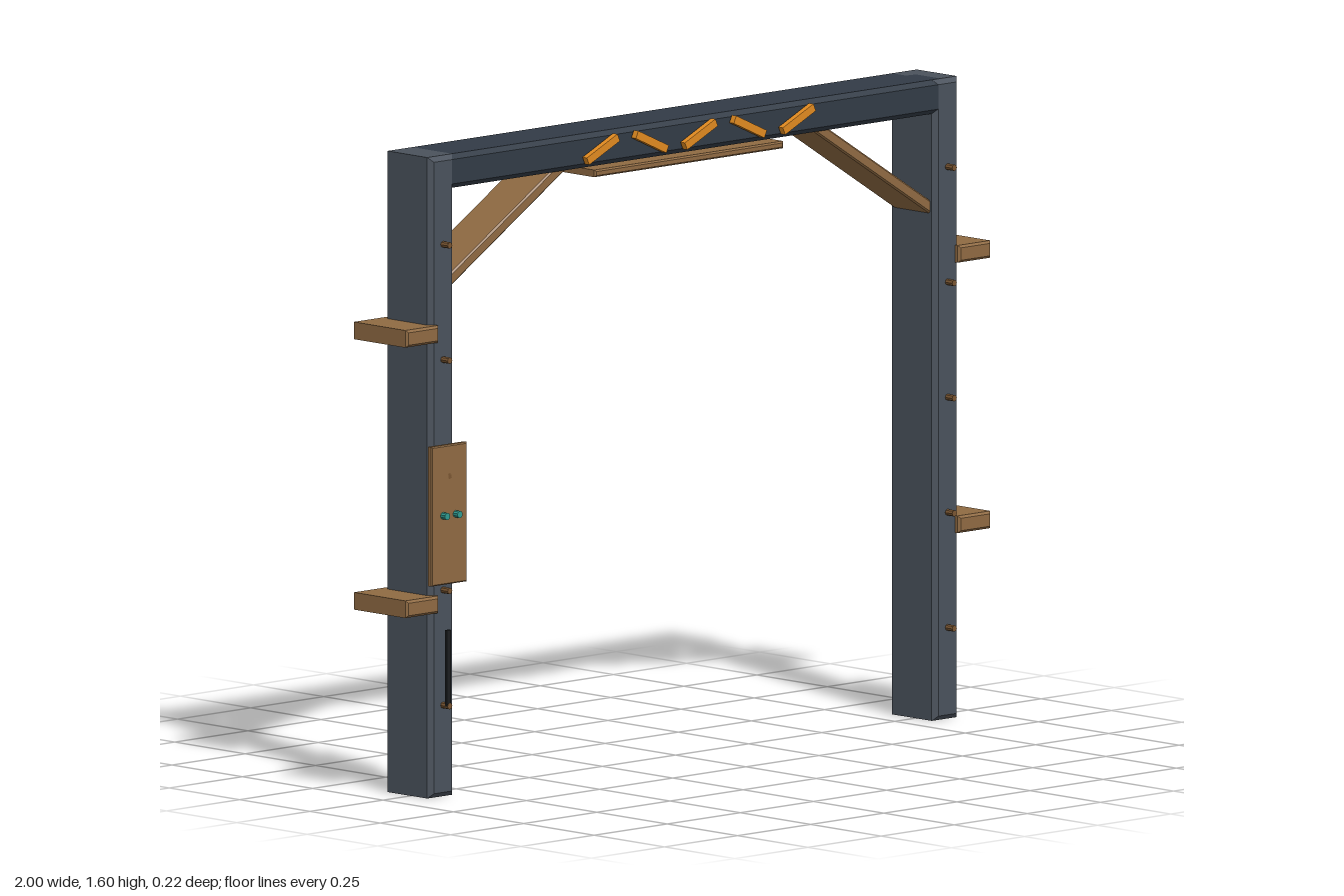
import * as THREE from 'three';

const mat = (color) => new THREE.MeshStandardMaterial({ color, flatShading: true });

// Box with chamfered edges, centred on its origin
function chamferBox(w, h, d, c) {
  const x = w / 2 - c, y = h / 2 - c;
  const shape = new THREE.Shape([
    new THREE.Vector2(-x, -y), new THREE.Vector2(x, -y),
    new THREE.Vector2(x, y), new THREE.Vector2(-x, y),
  ]);
  const geo = new THREE.ExtrudeGeometry(shape, {
    depth: d - 2 * c, bevelEnabled: true, bevelSegments: 1, bevelSize: c, bevelThickness: c,
  });
  return geo.translate(0, 0, c - d / 2);
}

export function createModel() {
  const group = new THREE.Group();
  const steel = mat(0x4a525c), darkSteel = mat(0x323b46), wood = mat(0x8f6a42);
  const orange = mat(0xe08a20), teal = mat(0x2f9a90), black = mat(0x1c1e20), bolt = mat(0x7a5632);

  const add = (name, geo, material, x, y, z, rz = 0) => {
    const mesh = new THREE.Mesh(geo, material);
    mesh.name = name;
    mesh.position.set(x, y, z);
    mesh.rotation.z = rz;
    group.add(mesh);
    return mesh;
  };

  const midZ = -0.0125;
  const postGeo = chamferBox(0.085, 1.6, 0.165, 0.012);
  const blockGeo = chamferBox(0.112, 0.043, 0.195, 0.006);
  const braceGeo = chamferBox(0.48, 0.028, 0.13, 0.004);
  const boltGeo = new THREE.CylinderGeometry(0.008, 0.008, 0.025, 8).rotateX(Math.PI / 2);

  // Posts with side blocks, knee braces and front bolts
  for (const side of [-1, 1]) {
    const label = side > 0 ? 'left' : 'right';
    add(label + 'Post', postGeo, steel, side * 0.8625, 0.8, midZ);
    for (const y of [0.485, 1.16]) add(label + 'SideBlock', blockGeo, wood, side * 0.944, y, midZ);
    add(label + 'KneeBrace', braceGeo, wood, side * 0.627, 1.404, midZ, -side * 0.56);
    for (let i = 0; i < 5; i++) {
      add(label + 'Bolt', boltGeo, bolt, side * 0.8625, 0.23 + i * 0.2875, 0.0825);
    }
  }

  // Top beam and the plank hung below it
  add('topBeam', chamferBox(1.7, 0.085, 0.164, 0.012), darkSteel, 0, 1.5575, midZ);
  add('hangingPlank', chamferBox(0.645, 0.018, 0.125, 0.004), wood, 0, 1.493, midZ);

  // Zigzag warning strips across the beam front
  const stripGeo = new THREE.BoxGeometry(0.115, 0.02, 0.016);
  for (let i = 0; i < 5; i++) {
    add('warningStrip', stripGeo, orange, (i - 2) * 0.1675, 1.56, 0.084, i % 2 ? -0.43 : 0.43);
  }

  // Panel on the right post with two studs and a dark slot below
  add('panel', chamferBox(0.122, 0.348, 0.016, 0.003), wood, -0.8635, 0.709, 0.087);
  const studGeo = new THREE.CylinderGeometry(0.009, 0.009, 0.018, 10).rotateX(Math.PI / 2);
  for (const x of [-0.886, -0.843]) add('panelStud', studGeo, teal, x, 0.708, 0.102);
  add('slotStrip', new THREE.BoxGeometry(0.014, 0.19, 0.008), black, -0.8645, 0.325, 0.09);

  return group;
}
